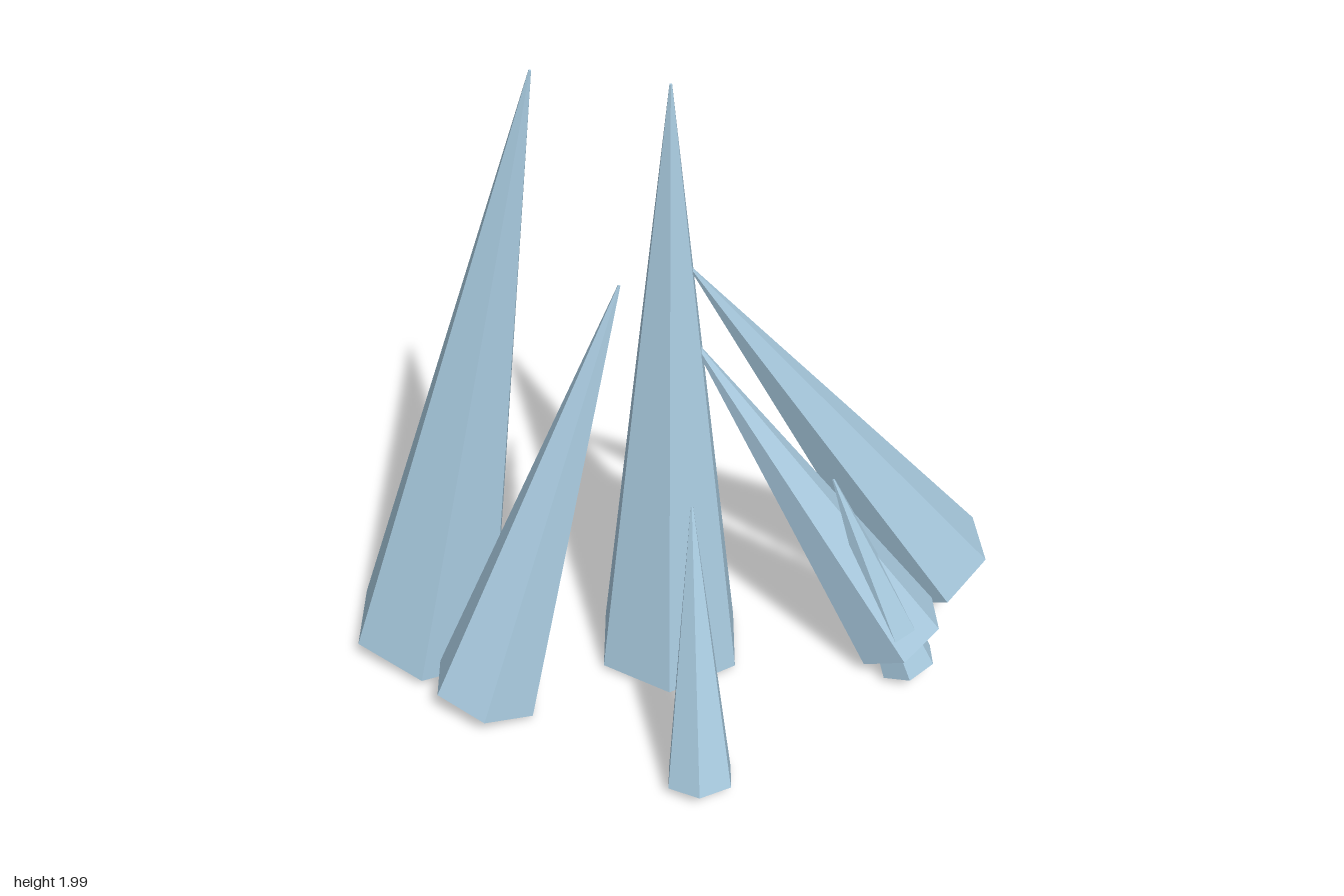
import * as THREE from 'three';

// Each crystal: name, tip position, centre of its base, base radius
const CRYSTALS = [
  ['centreCrystal', [0.06, 1.97, 0.07], [0.06, 0.03, 0.07], 0.231],
  ['tallRightCrystal', [-0.26, 2.0, 0.235], [-0.605, 0.05, 0.415], 0.237],
  ['frontRightCrystal', [-0.03, 1.39, 0.19], [-0.29, 0.065, 0.56], 0.168],
  ['smallFrontCrystal', [0.305, 0.89, 0.375], [0.427, 0.04, 0.53], 0.103],
  ['backLeftCrystal', [0.11, 1.41, 0.045], [0.667, 0.15, -0.555], 0.18],
  ['leftCrystal', [0.12, 1.18, 0.05], [0.69, 0.115, -0.235], 0.148],
  ['smallLeftCrystal', [0.505, 0.73, -0.1], [0.745, 0.052, -0.19], 0.09],
];

// Six-sided spike from base to tip, with one pair of corners kept in the x-y plane
function makeCrystal(name, tipPos, basePos, radius, material) {
  const tip = new THREE.Vector3(...tipPos);
  const base = new THREE.Vector3(...basePos);
  const axis = tip.clone().sub(base);
  const length = axis.length();
  axis.normalize();
  const side = new THREE.Vector3(axis.y, -axis.x, 0).normalize();
  const depth = side.clone().cross(axis);

  const geometry = new THREE.CylinderGeometry(0.004, radius, length, 6, 1, false, Math.PI / 2);
  geometry.translate(0, length / 2, 0);
  const mesh = new THREE.Mesh(geometry, material);
  mesh.name = name;
  mesh.quaternion.setFromRotationMatrix(new THREE.Matrix4().makeBasis(side, axis, depth));
  mesh.position.copy(base);
  return mesh;
}

export function createModel() {
  const group = new THREE.Group();
  group.name = 'crystalCluster';
  const ice = new THREE.MeshStandardMaterial({ color: 0xa9cbe0 });
  ice.name = 'paleIceBlue';
  ice.flatShading = true;
  for (const [name, tip, base, radius] of CRYSTALS) {
    group.add(makeCrystal(name, tip, base, radius, ice));
  }
  return group;
}
